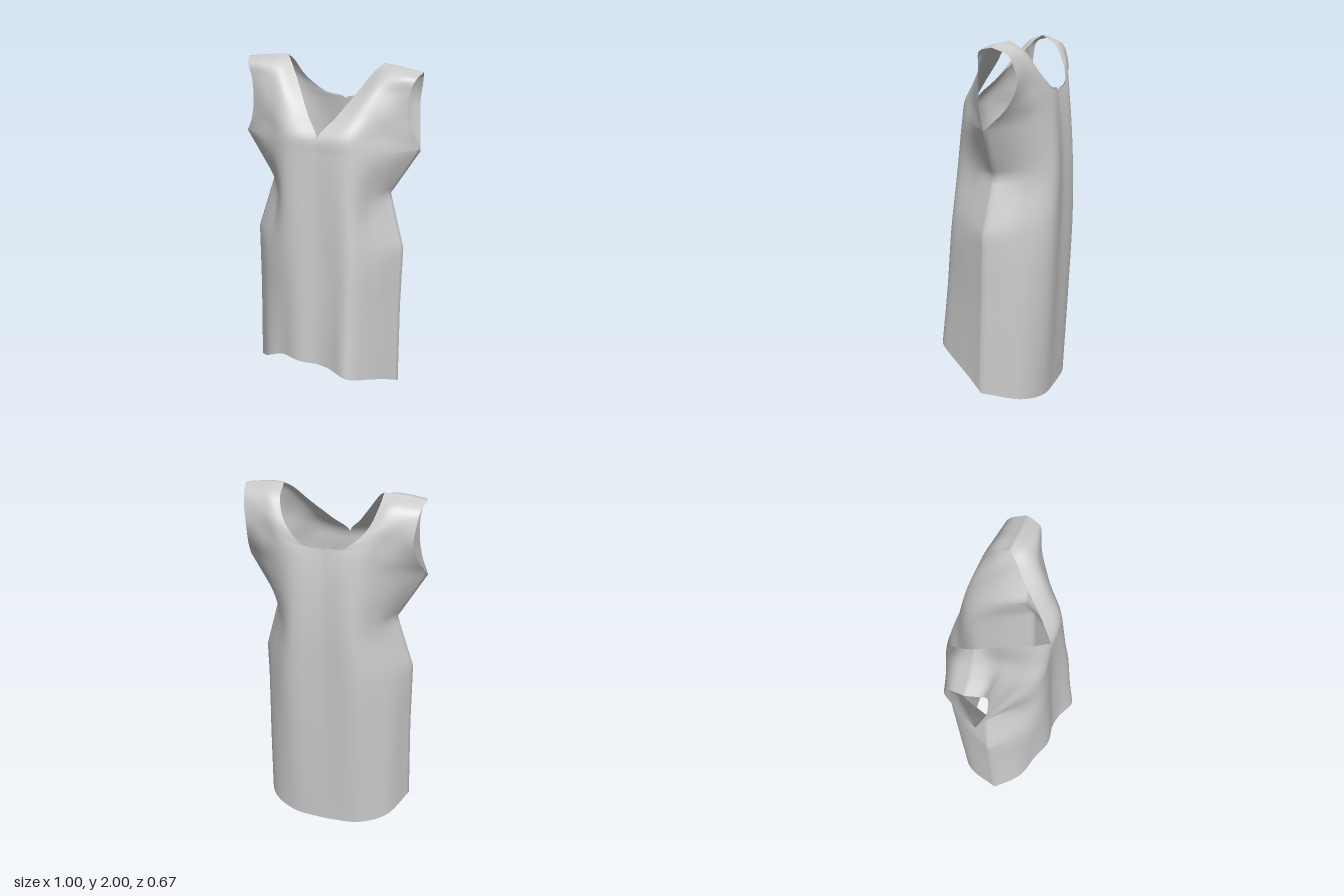
import * as THREE from 'three';
import { mergeGeometries, mergeVertices } from 'three/addons/utils/BufferGeometryUtils.js';

const V = (p) => new THREE.Vector3(...p);
const spline = (pts) => new THREE.CatmullRomCurve3(pts);
const ROWS = 9; // spans between guide points, hem to shoulder
const ARMPIT = 4; // guide index of the armpit corner

// Side seam from hem to armpit, and shoulder points, shared by both panels
const seam = [[0.44, 0.085, 0], [0.432, 0.6, -0.01], [0.435, 0.98, -0.02], [0.345, 1.29, -0.05], [0.5, 1.555, -0.05]];
const shoulder = [[0.268, 1.995, -0.11], [0.34, 1.993, -0.1], [0.41, 1.985, -0.09], [0.488, 1.972, -0.09]];

// Guide lines of half a panel, each running from hem to shoulder:
// centre and neckline, crest, bend, side seam and armhole
const frontGuides = [
  [[0, 0.27, 0.25], [0, 0.6, 0.24], [0, 0.98, 0.22], [0, 1.29, 0.21], [0, 1.555, 0.2],
    [0, 1.65, 0.19], [0.08, 1.75, 0.11], [0.17, 1.875, 0], [0.235, 1.965, -0.07], shoulder[0]],
  [[0.2, 0.265, 0.27], [0.2, 0.6, 0.25], [0.2, 0.98, 0.235], [0.19, 1.29, 0.215], [0.18, 1.555, 0.2],
    [0.17, 1.66, 0.19], [0.2, 1.76, 0.125], [0.25, 1.88, 0.045], [0.3, 1.97, -0.03], shoulder[1]],
  [[0.32, 0.2, 0.18], [0.32, 0.6, 0.15], [0.32, 0.98, 0.13], [0.28, 1.29, 0.08], [0.34, 1.555, 0.08],
    [0.32, 1.66, 0.08], [0.32, 1.76, 0.07], [0.34, 1.88, 0.025], [0.38, 1.96, -0.01], shoulder[2]],
  [...seam, [0.455, 1.64, -0.01], [0.435, 1.75, 0], [0.44, 1.88, 0], [0.465, 1.95, -0.015], shoulder[3]],
];
const backGuides = [
  [[0, 0, -0.29], [0, 0.6, -0.31], [0, 0.98, -0.32], [0, 1.29, -0.323], [0, 1.555, -0.31],
    [0, 1.72, -0.29], [0.12, 1.75, -0.29], [0.22, 1.84, -0.25], [0.262, 1.94, -0.19], shoulder[0]],
  [[0.2, 0.012, -0.28], [0.2, 0.6, -0.31], [0.2, 0.98, -0.325], [0.17, 1.29, -0.33], [0.17, 1.555, -0.315],
    [0.19, 1.7, -0.295], [0.24, 1.76, -0.275], [0.29, 1.86, -0.245], [0.32, 1.95, -0.19], shoulder[1]],
  [[0.35, 0.04, -0.2], [0.35, 0.6, -0.2], [0.34, 0.98, -0.19], [0.27, 1.29, -0.22], [0.34, 1.555, -0.2],
    [0.33, 1.68, -0.235], [0.34, 1.77, -0.235], [0.36, 1.87, -0.225], [0.39, 1.945, -0.18], shoulder[2]],
  [...seam, [0.465, 1.67, -0.16], [0.45, 1.78, -0.21], [0.46, 1.87, -0.2], [0.47, 1.935, -0.17], shoulder[3]],
];

// Side edge: straight seam spans up to the armpit, then a curved armhole
function sidePoint(pts, armhole, k) {
  if (k >= ARMPIT) return armhole.getPoint((k - ARMPIT) / (ROWS - ARMPIT));
  const i = Math.floor(k);
  return pts[i].clone().lerp(pts[i + 1], k - i);
}

// Half a panel, lofted across its four guides; side is +1 (left) or -1 (right)
function halfPanel(guides, side, isFront) {
  const nu = 24, nv = ROWS * 8;
  const pts = guides.map((g) => g.map(V));
  const curves = pts.map(spline);
  const armhole = spline(pts[3].slice(ARMPIT));
  const pos = [], index = [];
  for (let j = 0; j <= nv; j++) {
    const t = j / nv;
    const row = spline([...curves.slice(0, 3).map((c) => c.getPoint(t)), sidePoint(pts[3], armhole, t * ROWS)]);
    for (let i = 0; i <= nu; i++) {
      const p = row.getPoint(i / nu);
      p.x *= side;
      // The skirt front swings out on one side and falls in on the other
      if (isFront) {
        const swing = Math.exp(-(((Math.abs(p.x) - 0.2) / 0.1) ** 2)) * Math.max(0, 1 - p.y / 1.6);
        p.z += 0.35 * p.x * swing * Math.min(1, (1 - i / nu) * 4);
      }
      pos.push(p.x, p.y, p.z);
    }
  }
  const flip = (side > 0) !== isFront;
  for (let j = 0; j < nv; j++) {
    for (let i = 0; i < nu; i++) {
      const a = j * (nu + 1) + i, b = a + 1, c = a + nu + 1, d = c + 1;
      if (flip) index.push(a, c, b, b, c, d);
      else index.push(a, b, c, b, d, c);
    }
  }
  const geo = new THREE.BufferGeometry();
  geo.setAttribute('position', new THREE.Float32BufferAttribute(pos, 3));
  geo.setIndex(index);
  return geo;
}

export function createModel() {
  const group = new THREE.Group();
  group.name = 'sleevelessDress';
  const halves = [1, -1].flatMap((s) => [halfPanel(frontGuides, s, true), halfPanel(backGuides, s, false)]);
  // Weld the panels along centre lines, seams and shoulders for smooth cloth
  const geo = mergeVertices(mergeGeometries(halves), 1e-4);
  geo.computeVertexNormals();
  const dress = new THREE.Mesh(geo, new THREE.MeshStandardMaterial({ color: 0xcccccc, side: THREE.DoubleSide }));
  dress.name = 'dressCloth';
  group.add(dress);
  return group;
}
